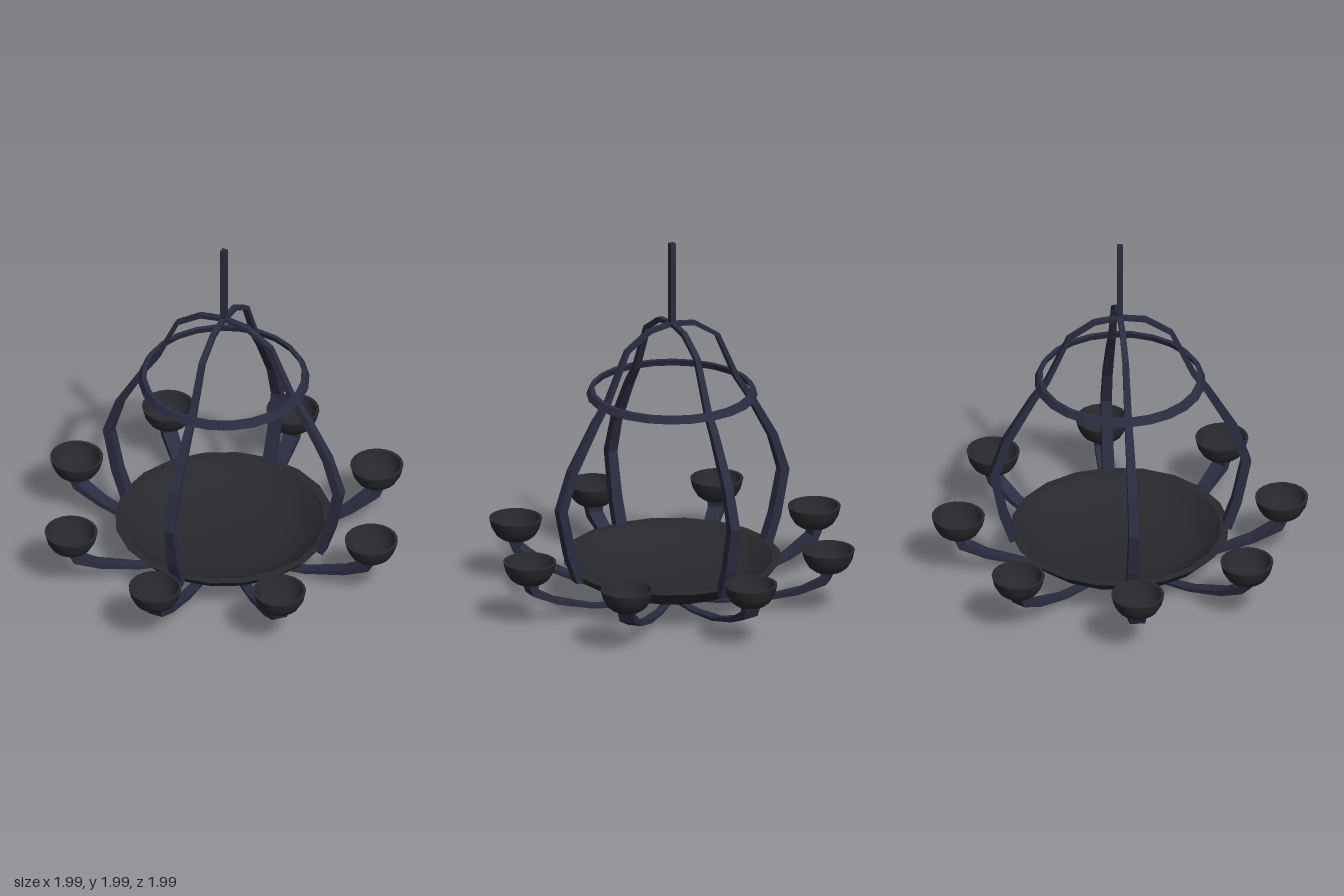
import * as THREE from 'three';
import { toCreasedNormals } from 'three/addons/utils/BufferGeometryUtils.js';

const iron = new THREE.MeshStandardMaterial({ color: 0x2c2c42, flatShading: true });
const bowlMetal = new THREE.MeshStandardMaterial({ color: 0x27292c });

// Flat bar swept along [radius, height, width, thickness] stations in the XY plane
function barGeometry(stations) {
  const pos = [], index = [], last = stations.length - 1;
  stations.forEach(([r, y, w, t], i) => {
    const a = stations[Math.max(i - 1, 0)], b = stations[Math.min(i + 1, last)];
    const n = new THREE.Vector2(a[1] - b[1], b[0] - a[0]).normalize().multiplyScalar(t / 2);
    for (const [s, z] of [[1, 1], [-1, 1], [-1, -1], [1, -1]]) {
      pos.push(r + s * n.x, y + s * n.y, z * w / 2);
    }
  });
  for (let i = 0; i < last; i++) {
    for (let k = 0; k < 4; k++) {
      const a = i * 4 + k, b = i * 4 + (k + 1) % 4;
      index.push(a, b, b + 4, a, b + 4, a + 4);
    }
  }
  const e = last * 4;
  index.push(0, 3, 2, 0, 2, 1, e, e + 1, e + 2, e, e + 2, e + 3);
  const geometry = new THREE.BufferGeometry();
  geometry.setAttribute('position', new THREE.Float32BufferAttribute(pos, 3));
  geometry.setIndex(index);
  const flat = geometry.toNonIndexed();
  flat.computeVertexNormals();
  return flat;
}

function lathe(profile, sides) {
  const points = profile.map(([r, y]) => new THREE.Vector2(r, y));
  return toCreasedNormals(new THREE.LatheGeometry(points, sides), 0.6);
}

export function createModel() {
  const model = new THREE.Group();
  const add = (name, geometry, material, parent = model) => {
    const mesh = new THREE.Mesh(geometry, material);
    mesh.name = name;
    parent.add(mesh);
    return mesh;
  };

  // Hanging rod
  add('hangingRod', new THREE.BoxGeometry(0.03, 0.46, 0.03), iron).position.y = 1.77;

  // Four bowed bars rising from the dish to the crown
  const frameBar = barGeometry([
    [0.56, 0.21, 0.065, 0.05], [0.615, 0.37, 0.06, 0.05], [0.665, 0.615, 0.055, 0.05],
    [0.6, 0.82, 0.05, 0.042], [0.46, 1.07, 0.043, 0.033], [0.385, 1.18, 0.038, 0.026],
    [0.27, 1.44, 0.033, 0.022], [0.135, 1.53, 0.03, 0.024], [0, 1.55, 0.03, 0.02],
  ]);
  for (let i = 0; i < 4; i++) {
    add('frameBar', frameBar, iron).rotation.y = i * Math.PI / 2;
  }

  // Ring around the upper frame
  add('frameRing', lathe([[0.408, 1.187], [0.42, 1.153], [0.45, 1.153], [0.432, 1.187], [0.408, 1.187]], 24), iron);

  // Central dish
  add('dish', lathe([
    [0, 0.08], [0.15, 0.083], [0.3, 0.097], [0.42, 0.13], [0.52, 0.18], [0.575, 0.24],
    [0.53, 0.24], [0.515, 0.225], [0.45, 0.17], [0.38, 0.14], [0.28, 0.115], [0, 0.11],
  ], 20), bowlMetal);

  // Eight curved arms, each carrying a cup
  const arm = barGeometry([
    [0, 0.013, 0.04, 0.01], [0.25, 0.021, 0.05, 0.012], [0.48, 0.055, 0.06, 0.018],
    [0.7, 0.125, 0.072, 0.028], [0.838, 0.2, 0.082, 0.042], [0.853, 0.27, 0.088, 0.07],
  ]);
  const cup = lathe([
    [0, 0.26], [0.08, 0.26], [0.105, 0.28], [0.128, 0.32], [0.14, 0.37],
    [0.125, 0.37], [0.112, 0.325], [0.092, 0.295], [0.06, 0.278], [0, 0.275],
  ], 20);
  for (let i = 0; i < 8; i++) {
    const branch = new THREE.Group();
    branch.name = 'branch';
    branch.rotation.y = i * Math.PI / 4;
    add('arm', arm, iron, branch);
    add('cup', cup, bowlMetal, branch).position.x = 0.853;
    model.add(branch);
  }
  return model;
}
